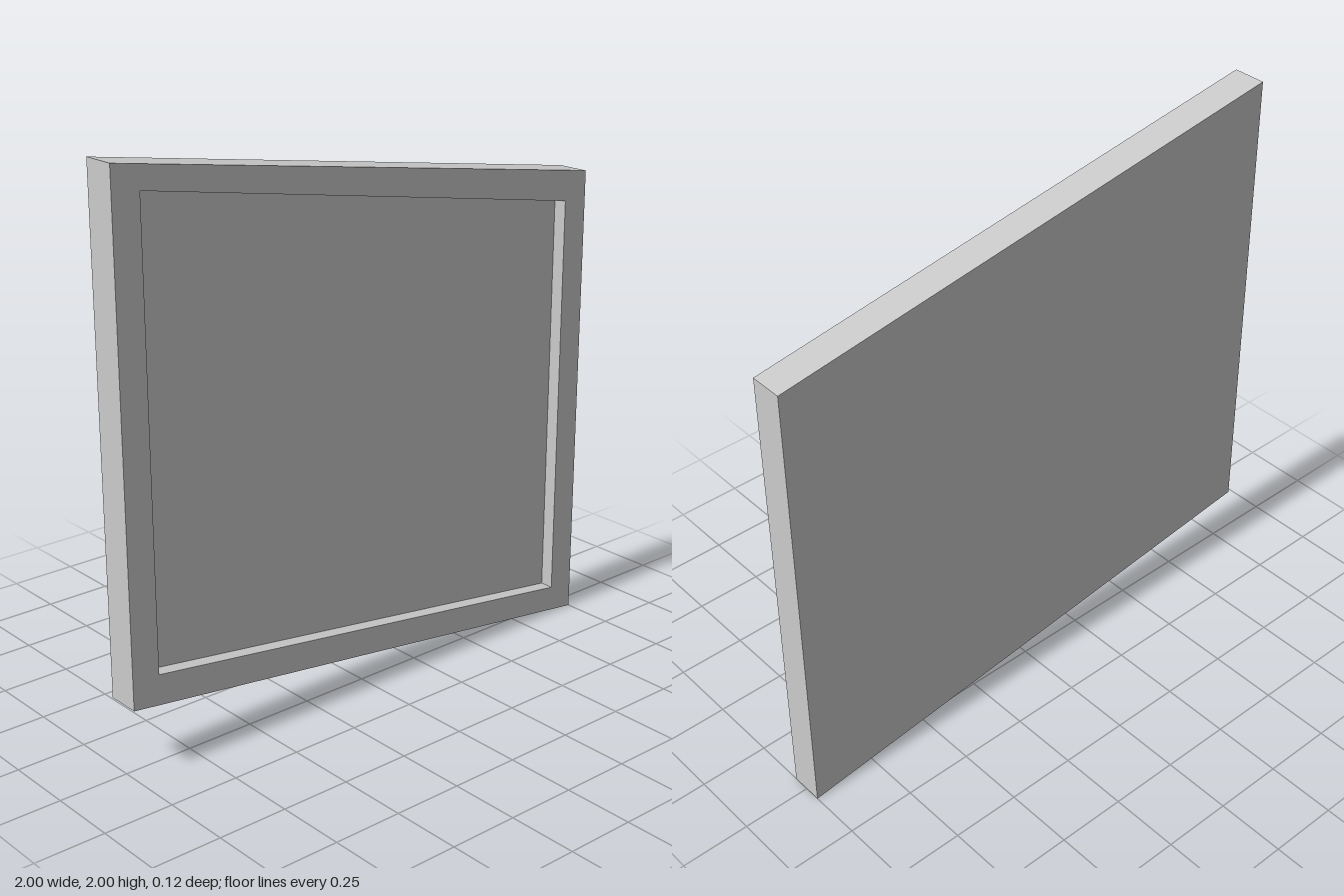
import * as THREE from 'three';

// Corner loops, counter-clockwise from the front: bottom left, bottom right, top right, top left
const OUTER = [[-1, 0.25], [1, 0], [1, 1.695], [-1, 2]];
const INNER = [[-0.9, 0.345], [0.9, 0.105], [0.9, 1.6], [-0.9, 1.905]];
const HALF_DEPTH = 0.06;
const RECESS_Z = 0.01;

const loopAt = (corners, z) => corners.map(([x, y]) => [x, y, z]);

// Joins successive loops with quads and closes both ends
function loftLoops(loops) {
  const positions = [];
  const quad = (a, b, c, d) => positions.push(...a, ...b, ...c, ...a, ...c, ...d);
  for (let i = 0; i < loops.length - 1; i++) {
    const from = loops[i], to = loops[i + 1];
    for (let k = 0; k < 4; k++) {
      const n = (k + 1) % 4;
      quad(from[k], from[n], to[n], to[k]);
    }
  }
  quad(...[...loops[0]].reverse());
  quad(...loops[loops.length - 1]);
  const geometry = new THREE.BufferGeometry();
  geometry.setAttribute('position', new THREE.Float32BufferAttribute(positions, 3));
  geometry.computeVertexNormals();
  return geometry;
}

export function createModel() {
  const group = new THREE.Group();
  group.name = 'slantedPanel';

  // Back face, outer sides, front rim, recess walls and recessed face
  const panel = new THREE.Mesh(
    loftLoops([
      loopAt(OUTER, -HALF_DEPTH),
      loopAt(OUTER, HALF_DEPTH),
      loopAt(INNER, HALF_DEPTH),
      loopAt(INNER, RECESS_Z),
    ]),
    new THREE.MeshStandardMaterial({ color: 0xcccccc, flatShading: true })
  );
  panel.name = 'framedPanel';
  group.add(panel);
  return group;
}
